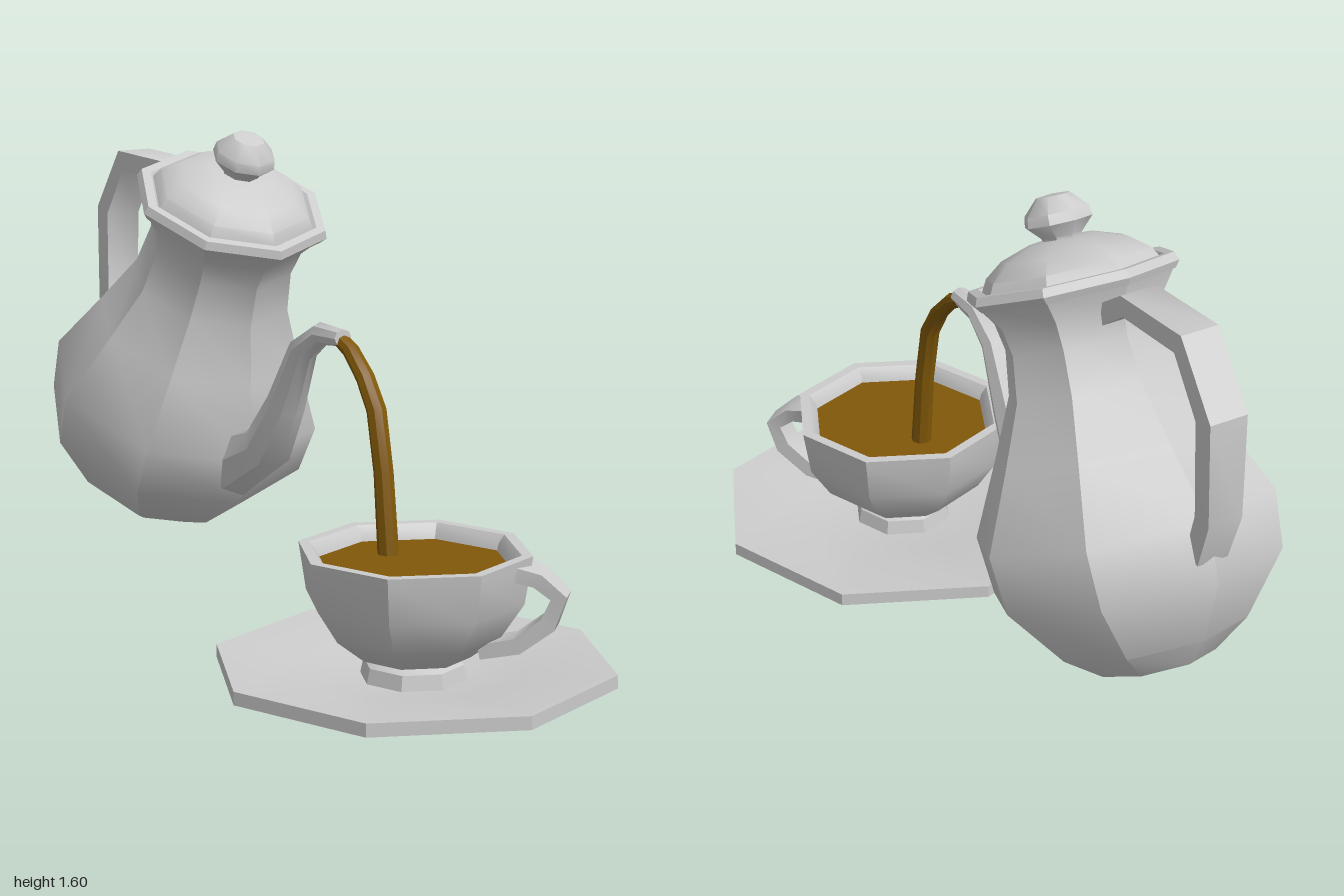
import * as THREE from 'three';
import { toCreasedNormals } from 'three/addons/utils/BufferGeometryUtils.js';

const china = new THREE.MeshStandardMaterial({ color: 0xcccccc, side: THREE.DoubleSide });
const tea = new THREE.MeshStandardMaterial({ color: 0x805808, side: THREE.DoubleSide });

function part(name, geometry, material = china) {
  const mesh = new THREE.Mesh(toCreasedNormals(geometry, 0.6), material);
  mesh.name = name;
  return mesh;
}

// Eight-sided turned shape, profile given as [radius, height] from bottom to top
function turned(name, profile) {
  return part(name, new THREE.LatheGeometry(profile.map(([r, y]) => new THREE.Vector2(r, y)), 8));
}

// Solid swept along a path in the xy plane; each stop is [x, y, half thickness, half width]
function swept(name, stops, sides, material) {
  const pos = [], index = [];
  const box = sides === 4;
  const grow = box ? Math.SQRT2 : 1;
  stops.forEach(([x, y, a, b], i) => {
    const p = stops[Math.max(i - 1, 0)], q = stops[Math.min(i + 1, stops.length - 1)];
    const t = new THREE.Vector2(q[0] - p[0], q[1] - p[1]).normalize();
    for (let j = 0; j < sides; j++) {
      const ang = (j + (box ? 0.5 : 0)) / sides * Math.PI * 2;
      const n = Math.cos(ang) * a * grow;
      pos.push(x - t.y * n, y + t.x * n, Math.sin(ang) * b * grow);
    }
  });
  const last = (stops.length - 1) * sides;
  for (let j = 0; j < sides; j++) {
    const k = (j + 1) % sides;
    for (let i = 0; i < last; i += sides) {
      index.push(i + j, i + k, i + sides + j, i + k, i + sides + k, i + sides + j);
    }
    // End caps
    if (j > 0 && k > 0) index.push(0, k, j, last, last + j, last + k);
  }
  const g = new THREE.BufferGeometry();
  g.setAttribute('position', new THREE.Float32BufferAttribute(pos, 3));
  g.setIndex(index);
  return part(name, g, material);
}

function makeTeapot() {
  const pot = new THREE.Group();
  pot.name = 'teapot';
  pot.add(turned('potBody', [
    [0, 0.03], [0.13, 0.03], [0.15, 0], [0.18, 0], [0.29, 0.08], [0.43, 0.26], [0.445, 0.43],
    [0.335, 0.65], [0.255, 0.82], [0.235, 0.95], [0.25, 1.03], [0.3, 1.1],
  ]));
  pot.add(turned('lid', [
    [0.24, 1.09], [0.3, 1.09], [0.315, 1.11], [0.305, 1.135], [0.275, 1.135], [0.265, 1.125],
    [0.245, 1.16], [0.19, 1.2], [0.1, 1.23], [0, 1.24],
  ]));
  pot.add(turned('lidKnob', [
    [0.055, 1.22], [0.06, 1.24], [0.1, 1.28], [0.095, 1.31], [0.05, 1.355], [0, 1.36],
  ]));
  pot.add(swept('spout', [
    [0.22, 0.29, 0.14, 0.1], [0.37, 0.39, 0.11, 0.095], [0.495, 0.535, 0.08, 0.08],
    [0.525, 0.72, 0.062, 0.06], [0.535, 0.93, 0.045, 0.045], [0.6, 1.03, 0.035, 0.037],
    [0.7, 1.08, 0.026, 0.03],
  ], 8));
  pot.add(swept('potHandle', [
    [-0.2, 1.02, 0.03, 0.06], [-0.34, 1.045, 0.03, 0.06], [-0.58, 0.94, 0.034, 0.06],
    [-0.62, 0.726, 0.034, 0.06], [-0.5, 0.45, 0.032, 0.055], [-0.4, 0.34, 0.03, 0.05],
  ], 4));
  // Tipped forward to pour
  pot.rotation.set(0, THREE.MathUtils.degToRad(-42), THREE.MathUtils.degToRad(-25), 'YZX');
  pot.position.set(-0.68, 0.35, -0.615);
  return pot;
}

function makeCupAndSaucer() {
  const set = new THREE.Group();
  set.name = 'cupAndSaucer';
  set.add(turned('saucer', [
    [0, 0.025], [0.15, 0.025], [0.18, 0], [0.22, 0], [0.32, 0.05], [0.6, 0.09],
    [0.6, 0.13], [0.33, 0.105], [0.22, 0.08], [0, 0.08],
  ]));
  set.add(turned('cup', [
    [0.16, 0.08], [0.15, 0.125], [0.12, 0.14], [0.17, 0.15], [0.26, 0.22], [0.325, 0.32],
    [0.345, 0.445], [0.348, 0.465], [0.315, 0.465], [0.295, 0.44], [0.285, 0.4],
  ]));
  const surface = part('teaSurface', new THREE.CircleGeometry(0.289, 8).rotateX(-Math.PI / 2), tea);
  surface.position.y = 0.42;
  set.add(surface);
  set.add(swept('cupHandle', [
    [0.31, 0.425, 0.022, 0.075], [0.37, 0.405, 0.022, 0.05], [0.43, 0.355, 0.024, 0.042],
    [0.4, 0.275, 0.025, 0.042], [0.31, 0.205, 0.024, 0.045], [0.2, 0.18, 0.022, 0.045],
  ], 4));
  set.position.set(0.4, 0, 0.335);
  return set;
}

export function createModel() {
  const model = new THREE.Group();
  model.name = 'teapotPouringIntoCup';
  model.add(makeTeapot(), makeCupAndSaucer());

  // Falling tea from spout tip to cup
  const stream = swept('teaStream', [
    [-0.02, 1.035, 0.02, 0.024], [0.05, 1.0, 0.025, 0.026], [0.12, 0.93, 0.026, 0.03],
    [0.175, 0.84, 0.027, 0.032], [0.21, 0.66, 0.028, 0.031], [0.235, 0.415, 0.032, 0.032],
  ], 8, tea);
  stream.position.set(0.12, 0, 0.1);
  stream.rotation.y = THREE.MathUtils.degToRad(-39);
  model.add(stream);
  return model;
}
